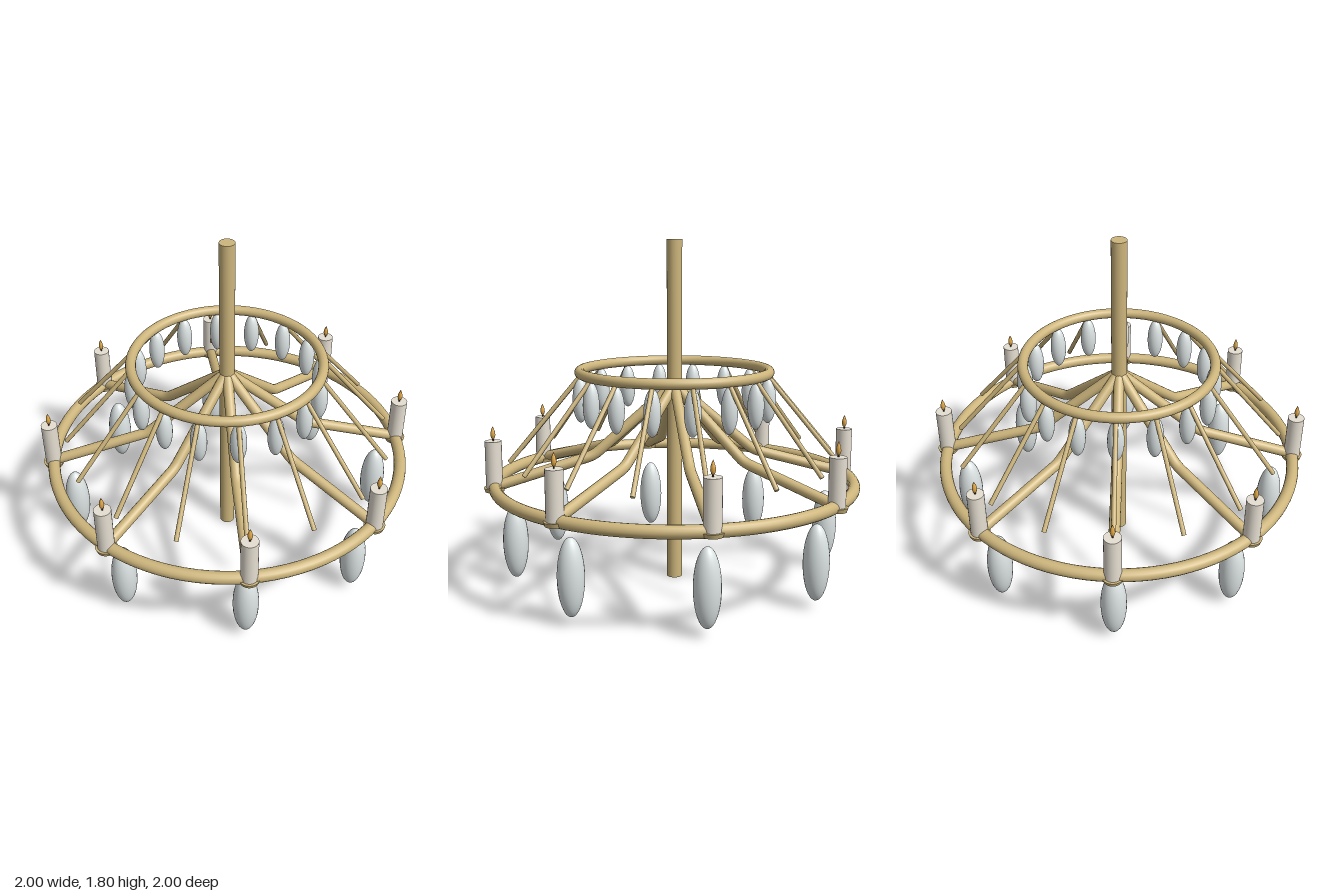
import * as THREE from 'three';

const wood = new THREE.MeshStandardMaterial({ color: 0xcdb57c });
const wax = new THREE.MeshStandardMaterial({ color: 0xe6dfd2 });
const crystal = new THREE.MeshStandardMaterial({ color: 0xdce3e3 });
const flameMat = new THREE.MeshStandardMaterial({ color: 0xe0a848 });
const wickMat = new THREE.MeshStandardMaterial({ color: 0x40382f });

function add(parent, name, geometry, material, x = 0, y = 0, z = 0) {
  const mesh = new THREE.Mesh(geometry, material);
  mesh.name = name;
  mesh.position.set(x, y, z);
  parent.add(mesh);
  return mesh;
}

// Calls build(spoke) for groups spaced evenly round the pole, each built along +x
function spokes(parent, name, count, build) {
  for (let i = 0; i < count; i++) {
    const spoke = new THREE.Group();
    spoke.name = name;
    spoke.rotation.y = (i / count) * Math.PI * 2;
    build(spoke);
    parent.add(spoke);
  }
}

function ring(radius, tube) {
  return new THREE.TorusGeometry(radius, tube, 16, 96).rotateX(Math.PI / 2);
}

function ellipsoid(radius, halfHeight) {
  return new THREE.SphereGeometry(1, 24, 20).scale(radius, halfHeight, radius);
}

// Straight capped rod between two points
function rod(a, b, radius) {
  const dir = b.clone().sub(a);
  const geometry = new THREE.CylinderGeometry(radius, radius, dir.length(), 10);
  geometry.applyQuaternion(new THREE.Quaternion().setFromUnitVectors(
    new THREE.Vector3(0, 1, 0), dir.normalize()));
  const mid = a.clone().add(b).multiplyScalar(0.5);
  return geometry.translate(mid.x, mid.y, mid.z);
}

export function createModel() {
  const model = new THREE.Group();
  model.name = 'chandelier';
  const v = (x, y) => new THREE.Vector3(x, y, 0);

  // Central pole and the two hoops
  add(model, 'pole', new THREE.CylinderGeometry(0.04, 0.04, 1.8, 24), wood, 0, 0.9, 0);
  add(model, 'lowerRing', ring(0.943, 0.032), wood, 0, 0.537, 0);
  add(model, 'upperRing', ring(0.495, 0.027), wood, 0, 1.12, 0);

  // Bent arm with a softened elbow
  const start = v(0, 1.05), elbow = v(0.43, 0.685), end = v(0.943, 0.54);
  const before = elbow.clone().lerp(start, 0.06), after = elbow.clone().lerp(end, 0.06);
  const armPath = new THREE.CurvePath();
  armPath.add(new THREE.LineCurve3(start, before));
  armPath.add(new THREE.QuadraticBezierCurve3(before, elbow, after));
  armPath.add(new THREE.LineCurve3(after, end));
  const armGeometry = new THREE.TubeGeometry(armPath, 48, 0.028, 14);

  const candleGeometry = new THREE.CylinderGeometry(0.043, 0.043, 0.25, 24);
  const panGeometry = new THREE.CylinderGeometry(0.055, 0.048, 0.022, 24);
  const wickGeometry = new THREE.CylinderGeometry(0.004, 0.004, 0.03, 8);
  const flameProfile = [[0, -0.033], [0.008, -0.026], [0.013, -0.01], [0.011, 0.008], [0.005, 0.026], [0, 0.037]];
  const flameGeometry = new THREE.LatheGeometry(
    flameProfile.map(([x, y]) => new THREE.Vector2(x, y)), 14);
  const largeDrop = ellipsoid(0.066, 0.195);

  // Eight arms, each with a candle and a large hanging drop
  spokes(model, 'armAssembly', 8, (s) => {
    add(s, 'arm', armGeometry, wood);
    add(s, 'dripPan', panGeometry, wood, 0.945, 0.525, 0);
    add(s, 'candle', candleGeometry, wax, 0.945, 0.655, 0);
    add(s, 'wick', wickGeometry, wickMat, 0.945, 0.79, 0);
    add(s, 'flame', flameGeometry, flameMat, 0.945, 0.82, 0);
    add(s, 'largeDrop', largeDrop, crystal, 0.845, 0.24, 0);
  });

  // Sixteen slanted rods and small drops under the upper hoop
  const rodGeometry = rod(v(0.485, 1.115), v(0.865, 0.665), 0.012);
  const smallDrop = ellipsoid(0.042, 0.118);
  spokes(model, 'upperFringe', 16, (s) => {
    add(s, 'slantedRod', rodGeometry, wood);
    add(s, 'smallDrop', smallDrop, crystal, 0.493, 0.98, 0);
  });

  return model;
}
